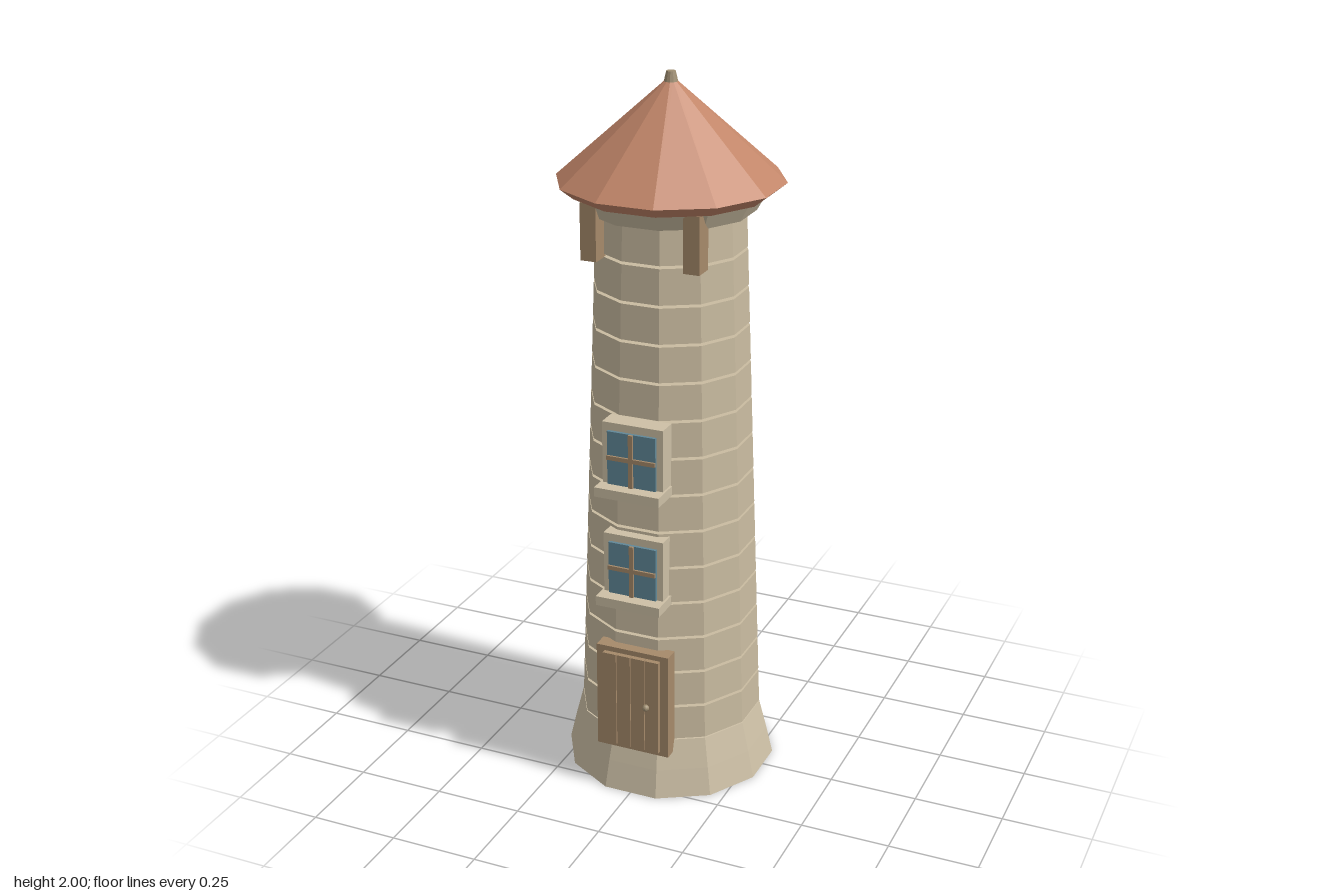
import * as THREE from 'three';

const mat = (name, color, extra = {}) => {
  const m = new THREE.MeshStandardMaterial({ color, flatShading: true, ...extra });
  m.name = name;
  return m;
};

export function createModel() {
  const stone = mat('stone', 0xc9bba0);
  const trim = mat('pale stone', 0xcdc0a6);
  const roofTile = mat('terracotta', 0xc28669);
  const wood = mat('wood', 0xa68a6a);
  const glass = mat('glass', 0x618898);
  const metal = mat('metal', 0xa08f72);

  const tower = new THREE.Group();
  tower.name = 'tower';

  const add = (parent, name, geometry, material) => {
    const mesh = new THREE.Mesh(geometry, material);
    mesh.name = name;
    parent.add(mesh);
    return mesh;
  };

  // Twelve-sided frustum; widths are half-widths across flat sides
  const C = Math.cos(Math.PI / 12);
  const ring = (name, y0, y1, w0, w1, material, parent = tower, open = false) => {
    const g = new THREE.CylinderGeometry(w1 / C, w0 / C, y1 - y0, 12, 1, open, Math.PI / 12);
    g.translate(0, (y0 + y1) / 2, 0);
    return add(parent, name, g, material);
  };

  // Box given by its extents
  const box = (parent, name, x0, x1, y0, y1, z0, z1, material) => {
    const g = new THREE.BoxGeometry(x1 - x0, y1 - y0, z1 - z0);
    g.translate((x0 + x1) / 2, (y0 + y1) / 2, (z0 + z1) / 2);
    return add(parent, name, g, material);
  };

  // Flared foot
  ring('footLower', 0, 0.08, 0.29, 0.272, trim);
  ring('footUpper', 0.08, 0.165, 0.272, 0.251, trim);

  // Tapering shaft of stone courses with narrow joints
  const y0 = 0.168, y1 = 1.645, n = 14, gap = 0.008;
  const pitch = (y1 - y0) / n;
  const widthAt = (y) => 0.25 - 0.055 * (y - y0) / (y1 - y0);
  for (let i = 0; i < n; i++) {
    const a = y0 + i * pitch;
    const b = a + pitch - (i < n - 1 ? gap : 0);
    ring('stoneCourse', a, b, widthAt(a), widthAt(b), stone);
  }

  // Flared cornice, roof and finial
  ring('cornice', 1.64, 1.695, 0.22, 0.25, stone);
  const roof = new THREE.Group();
  roof.name = 'roof';
  tower.add(roof);
  ring('eaves', 1.687, 1.716, 0.262, 0.297, roofTile, roof);
  ring('roofCone', 1.716, 1.975, 0.297, 0.016, roofTile, roof);
  ring('finial', 1.965, 2.0, 0.02, 0.012, metal, roof);

  // Front brackets under the eaves
  for (const s of [-1, 1]) {
    box(tower, 'bracket', s * 0.145 - 0.0225, s * 0.145 + 0.0225, 1.53, 1.685, 0.148, 0.206, wood);
  }

  // Window: surround, pane, glazing bars and sill
  const makeWindow = (y) => {
    const w = new THREE.Group();
    w.name = 'window';
    w.position.y = y;
    box(w, 'windowSurround', -0.088, 0.088, 0.02, 0.202, 0.2, 0.257, trim);
    box(w, 'windowPane', -0.07, 0.07, 0.028, 0.18, 0.257, 0.266, glass);
    box(w, 'glazingBarUpright', -0.006, 0.006, 0.028, 0.18, 0.266, 0.273, wood);
    box(w, 'glazingBarCross', -0.07, 0.07, 0.1, 0.112, 0.266, 0.272, wood);
    box(w, 'windowSill', -0.094, 0.094, 0, 0.027, 0.21, 0.3, trim);
    tower.add(w);
  };
  makeWindow(0.583);
  makeWindow(0.908);

  // Planked door with frame and knob
  const door = new THREE.Group();
  door.name = 'door';
  tower.add(door);
  box(door, 'doorFrame', -0.108, 0.108, 0.13, 0.445, 0.225, 0.27, wood);
  const plank = 0.17 / 4;
  for (let i = 0; i < 4; i++) {
    const x = -0.085 + i * plank;
    box(door, 'doorPlank', x + 0.001, x + plank - 0.001, 0.145, 0.43, 0.268, 0.284, wood);
  }
  const knob = add(door, 'doorKnob', new THREE.SphereGeometry(0.01, 10, 8), metal);
  knob.position.set(0.048, 0.285, 0.287);

  return tower;
}
